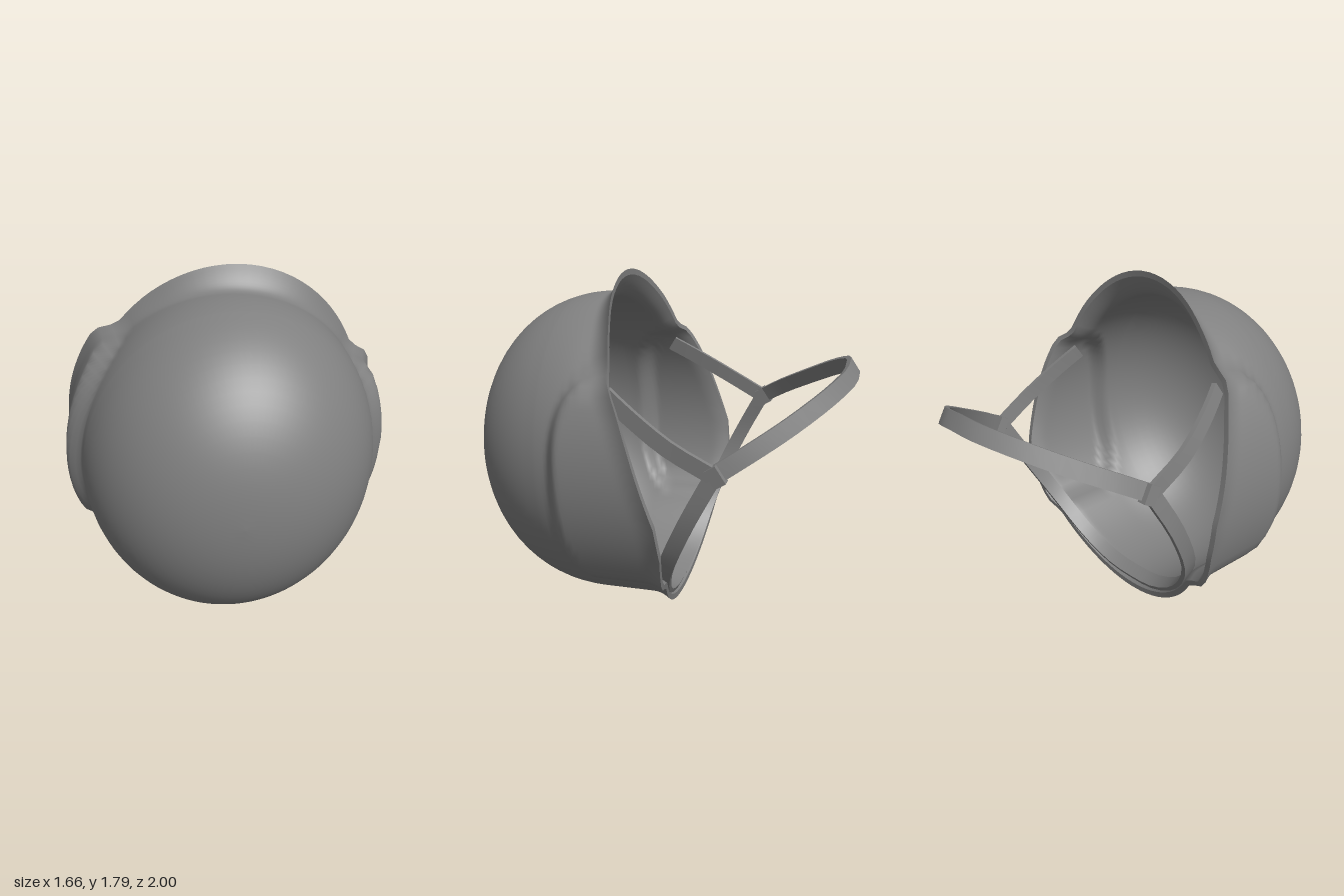
import * as THREE from 'three';
import { toCreasedNormals } from 'three/addons/utils/BufferGeometryUtils.js';

const grey = new THREE.MeshStandardMaterial({ color: 0x808080 });
grey.name = 'helmet grey';

const HALF_W = 0.735, HALF_H = 0.82, MID_Y = 0.86, WALL = 0.03;
const COLS = 96, DOME_ROWS = 16, SIDE_ROWS = 28;

// Height of the rim against its z position
const RIM = [[0.04, -0.08], [0.4, -0.155], [0.6, -0.178], [0.75, -0.165], [0.85, -0.13],
  [1.05, -0.06], [1.2, 0.0], [1.35, 0.08], [1.53, 0.125], [1.68, 0.18]];

function rimZ(y) {
  for (let i = 1; i < RIM.length; i++) {
    const [y0, z0] = RIM[i - 1], [y1, z1] = RIM[i];
    if (y <= y1) return THREE.MathUtils.lerp(z0, z1, Math.max(0, (y - y0) / (y1 - y0)));
  }
  return RIM[RIM.length - 1][1];
}

// Grid of points, closed across its columns
function grid(rows, cols, point, flip = false) {
  const pos = [], index = [];
  for (let i = 0; i <= rows; i++)
    for (let j = 0; j < cols; j++) pos.push(...point(i, j));
  for (let i = 0; i < rows; i++)
    for (let j = 0; j < cols; j++) {
      const a = i * cols + j, d = i * cols + (j + 1) % cols, b = a + cols, c = d + cols;
      if (flip) index.push(a, c, b, a, d, c);
      else index.push(a, b, c, a, c, d);
    }
  const g = new THREE.BufferGeometry();
  g.setAttribute('position', new THREE.Float32BufferAttribute(pos, 3));
  g.setIndex(index);
  g.computeVertexNormals();
  return g;
}

// Shell surface: round crown, ear bulges on both sides and a flared rim
function shellPoint(i, j, inset) {
  const a = (j / COLS) * Math.PI * 2, s = Math.sin(a), c = Math.cos(a);
  const zEnd = rimZ(MID_Y + HALF_H * s);
  const zSplit = 0.46, z0 = 0.26, depth = 1 - z0, k = 2.15;
  let z;
  if (i <= DOME_ROWS) {
    const end = Math.acos((zSplit - z0) / depth);
    z = z0 + depth * Math.cos(end * i / DOME_ROWS);
  } else z = THREE.MathUtils.lerp(zSplit, zEnd, (i - DOME_ROWS) / SIDE_ROWS);
  const u = Math.max(0, (z - z0) / depth);
  const r = Math.pow(Math.max(0, 1 - Math.pow(u, k)), 1 / k);

  const side = Math.asin(Math.min(1, Math.abs(s)));
  const start = 0.39 - 0.14 * Math.pow(side / 0.65, 4);
  const bulge = 0.075 * (1 - THREE.MathUtils.smoothstep(side, 0.54, 0.72))
    * (1 - THREE.MathUtils.smoothstep(z, start - 0.09, start));
  const near = Math.max(0, 1 - (z - zEnd) / 0.1);
  const flare = (s > 0 ? 0.018 + 0.095 * s * s * s : 0.018 - 0.02 * s) * near * near;
  const out = bulge + flare - inset * Math.min(1, r * 3);
  const zz = z - inset * u;
  return [c * (HALF_W * r + out), MID_Y + s * (HALF_H * r + out), zz];
}

// Flat band swept along a curve, with its width along a fixed direction
function strap(points, widthDir, width, thick, steps) {
  const curve = new THREE.CatmullRomCurve3(points.map(p => new THREE.Vector3(...p)));
  const W = new THREE.Vector3(...widthDir).normalize();
  const corners = [[1, 1], [-1, 1], [-1, -1], [1, -1]];
  const g = grid(steps + 2, 4, (i, j) => {
    const t = Math.min(steps, Math.max(0, i - 1)) / steps;
    const p = curve.getPointAt(t);
    if (i > 0 && i < steps + 2) {
      const N = curve.getTangentAt(t).cross(W).normalize();
      p.addScaledVector(W, corners[j][0] * width / 2).addScaledVector(N, corners[j][1] * thick / 2);
    }
    return p.toArray();
  }, true);
  return toCreasedNormals(g, 0.6);
}

// Full left-to-right loop from one half that ends on the centre line
function mirrored(half) {
  return [...half, ...half.slice(0, -1).reverse().map(([x, y, z]) => [-x, y, z])];
}

export function createModel() {
  const model = new THREE.Group();
  model.name = 'helmet';
  const body = new THREE.Group();
  body.name = 'tiltedHelmet';
  const add = (name, geometry) => {
    const mesh = new THREE.Mesh(geometry, grey);
    mesh.name = name;
    body.add(mesh);
    return mesh;
  };

  // Shell
  const rows = DOME_ROWS + SIDE_ROWS;
  add('outerShell', grid(rows, COLS, (i, j) => shellPoint(i, j, 0)));
  add('innerShell', grid(rows, COLS, (i, j) => shellPoint(i, j, WALL), true));
  add('rimEdge', grid(1, COLS, (i, j) => shellPoint(rows, j, i * WALL)));

  // Chin loop and nape band
  add('chinStrap', strap(mirrored([[0.665, 0.96, -0.41], [0.61, 1.04, -0.54], [0.49, 1.14, -0.71],
    [0.32, 1.24, -0.87], [0.15, 1.295, -0.955], [0, 1.305, -0.965]]), [0, 0.84, 0.54], 0.085, 0.024, 24));
  add('napeStrap', strap(mirrored([[0.67, 0.96, -0.41], [0.665, 0.7, -0.27], [0.585, 0.42, -0.14],
    [0.41, 0.21, -0.075], [0.2, 0.105, -0.05], [0, 0.085, -0.045]]), [0, 0.42, 0.9], 0.08, 0.024, 28));

  // Front straps and the buckles where the straps meet
  for (const s of [1, -1]) {
    const label = s > 0 ? 'left' : 'right';
    add(label + 'FrontStrap', strap([[s * 0.67, 0.96, -0.41], [s * 0.675, 1.08, -0.2],
      [s * 0.625, 1.21, 0], [s * 0.575, 1.29, 0.12]], [0, 0.84, -0.54], 0.08, 0.024, 8));
    const buckle = add(label + 'Buckle', new THREE.BoxGeometry(0.05, 0.095, 0.06));
    buckle.position.set(s * 0.668, 0.96, -0.42);
    buckle.rotation.x = 0.55;
  }

  // Whole helmet leans slightly to its left
  const lean = new THREE.Group();
  lean.name = 'lean';
  body.position.y = -MID_Y;
  lean.add(body);
  lean.position.y = MID_Y;
  lean.rotation.z = -0.13;
  model.add(lean);
  return model;
}
